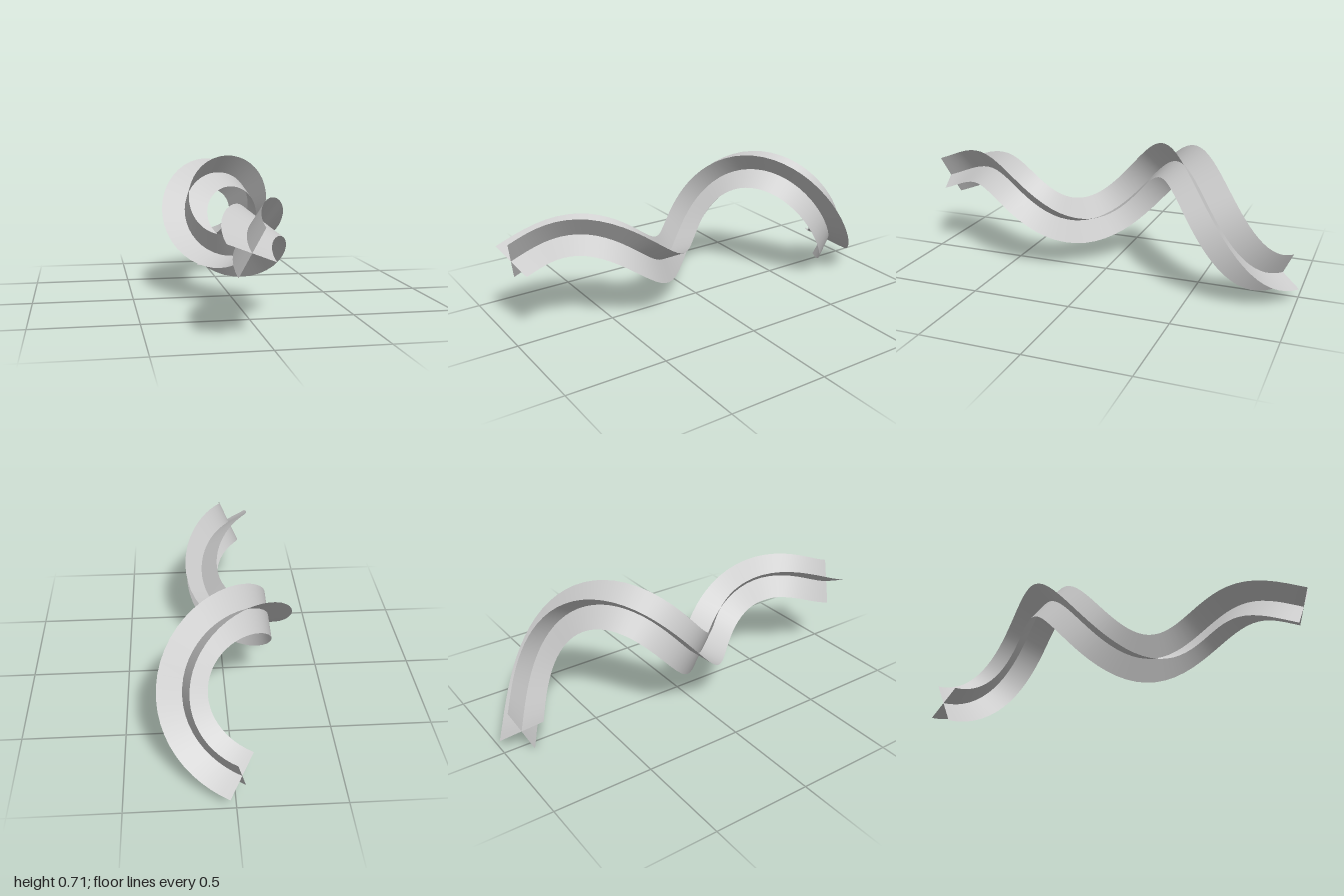
import * as THREE from 'three';

const SEGMENTS = 64;
const HALF_WIDTH = 0.12;
const ROLL = THREE.MathUtils.degToRad(25);

// Widening helix that runs from the front to the back
class WideningHelix extends THREE.Curve {
  getPoint(t, target = new THREE.Vector3()) {
    const angle = Math.PI - t * 3.5 * Math.PI;
    const radius = 0.055 + 0.229 * t;
    return target.set(
      -0.03 + radius * Math.cos(angle),
      0.39 + radius * Math.sin(angle),
      0.965 - 1.88 * t
    );
  }
}

// Flat ribbon swept along the curve, rolled about its twist-free frames
function ribbon(curve, frames, roll) {
  const positions = [];
  const indices = [];
  const side = new THREE.Vector3();
  const point = new THREE.Vector3();
  for (let i = 0; i <= SEGMENTS; i++) {
    curve.getPointAt(i / SEGMENTS, point);
    side.copy(frames.normals[i]).multiplyScalar(Math.cos(roll))
      .addScaledVector(frames.binormals[i], Math.sin(roll));
    // edge, middle, edge
    for (const s of [-1, 0, 1]) {
      const p = point.clone().addScaledVector(side, s * HALF_WIDTH);
      positions.push(p.x, p.y, p.z);
    }
    if (i === SEGMENTS) continue;
    for (let j = 0; j < 2; j++) {
      const a = i * 3 + j;
      indices.push(a, a + 1, a + 3, a + 1, a + 4, a + 3);
    }
  }
  const geometry = new THREE.BufferGeometry();
  geometry.setAttribute('position', new THREE.Float32BufferAttribute(positions, 3));
  geometry.setIndex(indices);
  geometry.computeVertexNormals();
  return geometry;
}

export function createModel() {
  const group = new THREE.Group();
  group.name = 'crossSpiral';
  const material = new THREE.MeshStandardMaterial({ color: 0xcccccc, side: THREE.DoubleSide });

  const curve = new WideningHelix();
  curve.arcLengthDivisions = 600;
  const frames = curve.computeFrenetFrames(SEGMENTS, false);

  // Two ribbons crossing at right angles along the same path
  ['firstRibbon', 'secondRibbon'].forEach((name, k) => {
    const mesh = new THREE.Mesh(ribbon(curve, frames, ROLL + k * Math.PI / 2), material);
    mesh.name = name;
    group.add(mesh);
  });
  return group;
}
